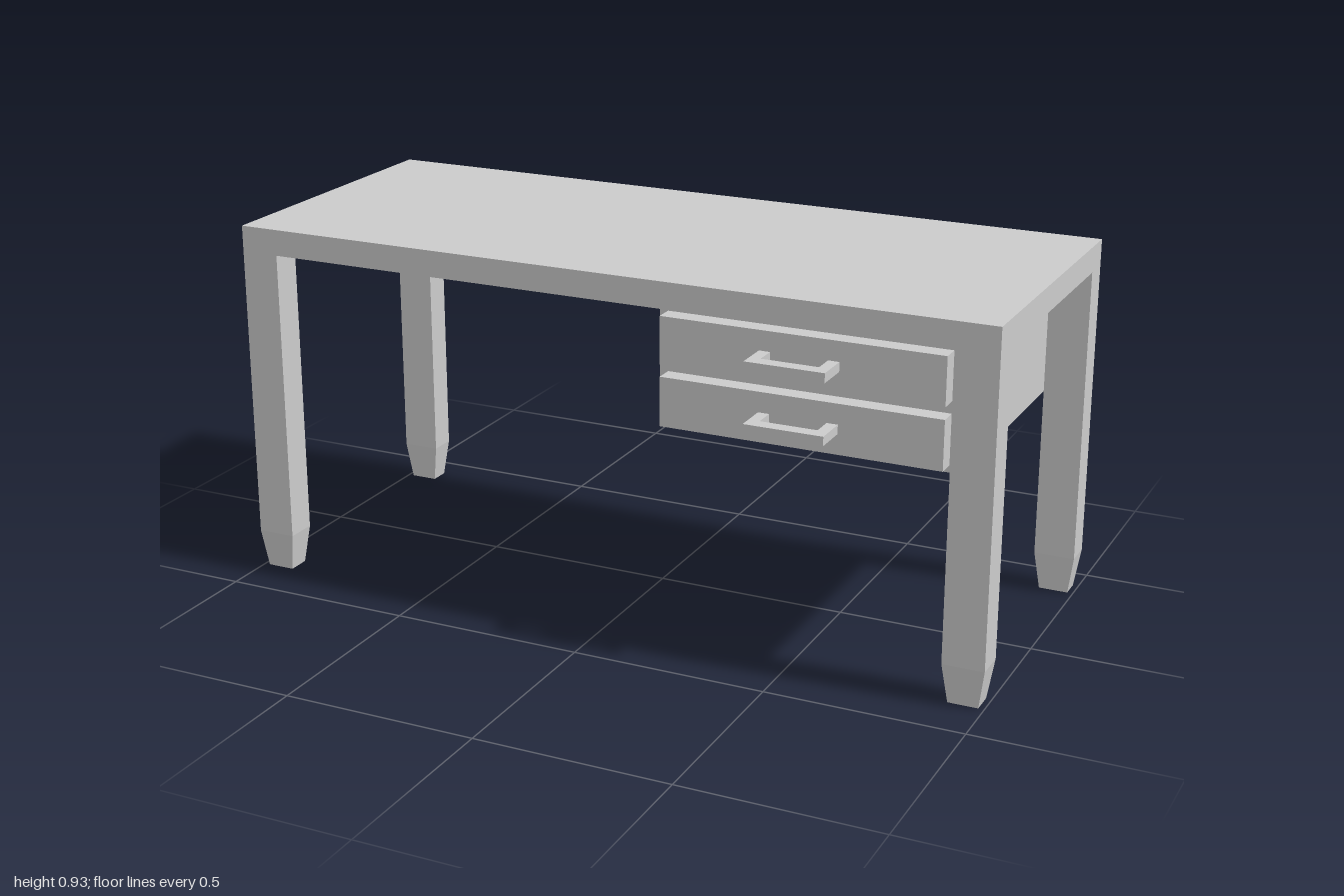
import * as THREE from 'three';

const material = new THREE.MeshStandardMaterial({ color: 0xcccccc, flatShading: true });

// Box given by its min and max extents on each axis
function box(name, [x0, x1], [y0, y1], [z0, z1]) {
  const mesh = new THREE.Mesh(new THREE.BoxGeometry(x1 - x0, y1 - y0, z1 - z0), material);
  mesh.position.set((x0 + x1) / 2, (y0 + y1) / 2, (z0 + z1) / 2);
  mesh.name = name;
  return mesh;
}

// Square leg whose lowest part tapers to a smaller foot
function leg(name, [x0, x1], [z0, z1]) {
  const top = 0.865, taperStart = 0.1, footScale = 0.72;
  const geometry = new THREE.BoxGeometry(x1 - x0, top, z1 - z0, 1, 2, 1);
  const p = geometry.attributes.position;
  for (let i = 0; i < p.count; i++) {
    const y = p.getY(i);
    if (y < -0.01) p.setXYZ(i, p.getX(i) * footScale, y, p.getZ(i) * footScale);
    else if (y < 0.01) p.setY(i, taperStart - top / 2);
  }
  geometry.computeVertexNormals();
  const mesh = new THREE.Mesh(geometry, material);
  mesh.position.set((x0 + x1) / 2, top / 2, (z0 + z1) / 2);
  mesh.name = name;
  return mesh;
}

// Drawer front with a U-shaped pull
function drawer(name, yRange, handleY) {
  const group = new THREE.Group();
  group.name = name;
  group.add(
    box('drawerFront', [0.155, 0.867], yRange, [0.295, 0.342]),
    box('handleBar', [0.41, 0.61], handleY, [0.397, 0.432]),
    box('handlePostRight', [0.41, 0.438], handleY, [0.342, 0.397]),
    box('handlePostLeft', [0.582, 0.61], handleY, [0.342, 0.397])
  );
  return group;
}

export function createModel() {
  const desk = new THREE.Group();
  desk.name = 'desk';

  // Top slab
  desk.add(box('deskTop', [-1, 1], [0.865, 0.932], [-0.432, 0.377]));

  // Four legs
  for (const [side, x] of [['Left', [0.895, 1]], ['Right', [-1, -0.9]]]) {
    desk.add(leg('frontLeg' + side, x, [0.295, 0.377]));
    desk.add(leg('backLeg' + side, x, [-0.432, -0.358]));
  }

  // Drawer cabinet under one end
  desk.add(box('cabinet', [0.133, 0.895], [0.542, 0.865], [-0.358, 0.295]));
  desk.add(drawer('upperDrawer', [0.715, 0.836], [0.762, 0.786]));
  desk.add(drawer('lowerDrawer', [0.56, 0.685], [0.611, 0.634]));

  return desk;
}
